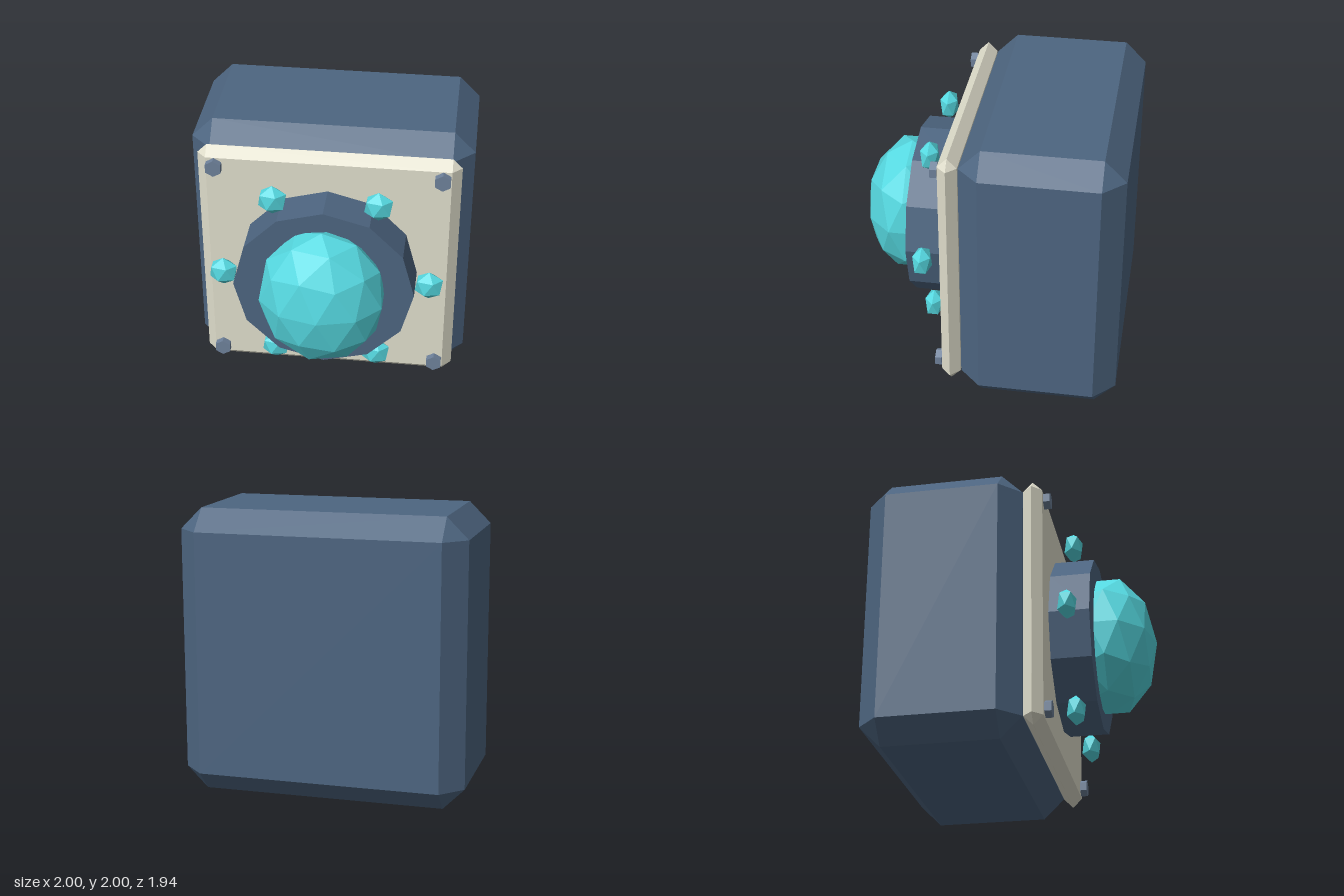
import * as THREE from 'three';
import { ConvexGeometry } from 'three/addons/geometries/ConvexGeometry.js';

const flat = (color) => new THREE.MeshStandardMaterial({ color, flatShading: true });

// Box with every edge cut at 45 degrees and triangular corners
function chamferBox(w, h, d, c) {
  const points = [];
  for (const sx of [-1, 1]) for (const sy of [-1, 1]) for (const sz of [-1, 1]) {
    const x = sx * w / 2, y = sy * h / 2, z = sz * d / 2;
    points.push(
      new THREE.Vector3(x, y - sy * c, z - sz * c),
      new THREE.Vector3(x - sx * c, y, z - sz * c),
      new THREE.Vector3(x - sx * c, y - sy * c, z)
    );
  }
  return new ConvexGeometry(points);
}

// Icosahedral gem with one vertex straight up, stretched to the given radii
function gem(rx, ry, rz, detail) {
  const geometry = new THREE.IcosahedronGeometry(1, detail);
  geometry.rotateZ(-Math.atan(2 / (1 + Math.sqrt(5))));
  geometry.scale(rx, ry, rz);
  geometry.computeVertexNormals();
  return geometry;
}

// Prism facing forward
const prism = (r, depth, sides) =>
  new THREE.CylinderGeometry(r, r, depth, sides).rotateX(Math.PI / 2);

export function createModel() {
  const model = new THREE.Group();
  model.name = 'gemDevice';
  const blue = flat(0x4d6580);
  const cream = flat(0xe0decc);
  const cyan = flat(0x55d8e0);
  const steel = flat(0x6e819a);

  const add = (name, geometry, material, x, y, z) => {
    const mesh = new THREE.Mesh(geometry, material);
    mesh.name = name;
    mesh.position.set(x, y, z);
    model.add(mesh);
  };

  // Housing and front plate
  add('housing', chamferBox(2, 2, 1.11, 0.15), blue, 0, 1, -0.415);
  add('frontPlate', chamferBox(1.84, 1.84, 0.135, 0.067), cream, 0, 1, 0.2115);

  // Twelve-sided collar holding the large gem
  add('collar', prism(0.64, 0.285, 12), blue, 0, 1, 0.4225);
  add('largeGem', gem(0.452, 0.525, 0.34, 1), cyan, 0, 1, 0.63);

  // Small gems in a circle round the collar
  const smallGem = gem(0.11, 0.112, 0.074, 0);
  for (let i = 0; i < 6; i++) {
    const a = i * Math.PI / 3;
    add('smallGem', smallGem, cyan, 0.735 * Math.cos(a), 1 + 0.735 * Math.sin(a), 0.425);
  }

  // Hexagonal bolts in the plate corners
  const bolt = prism(0.062, 0.048, 6);
  for (const x of [-0.793, 0.793]) for (const y of [0.207, 1.793]) {
    add('bolt', bolt, steel, x, y, 0.307);
  }
  return model;
}
